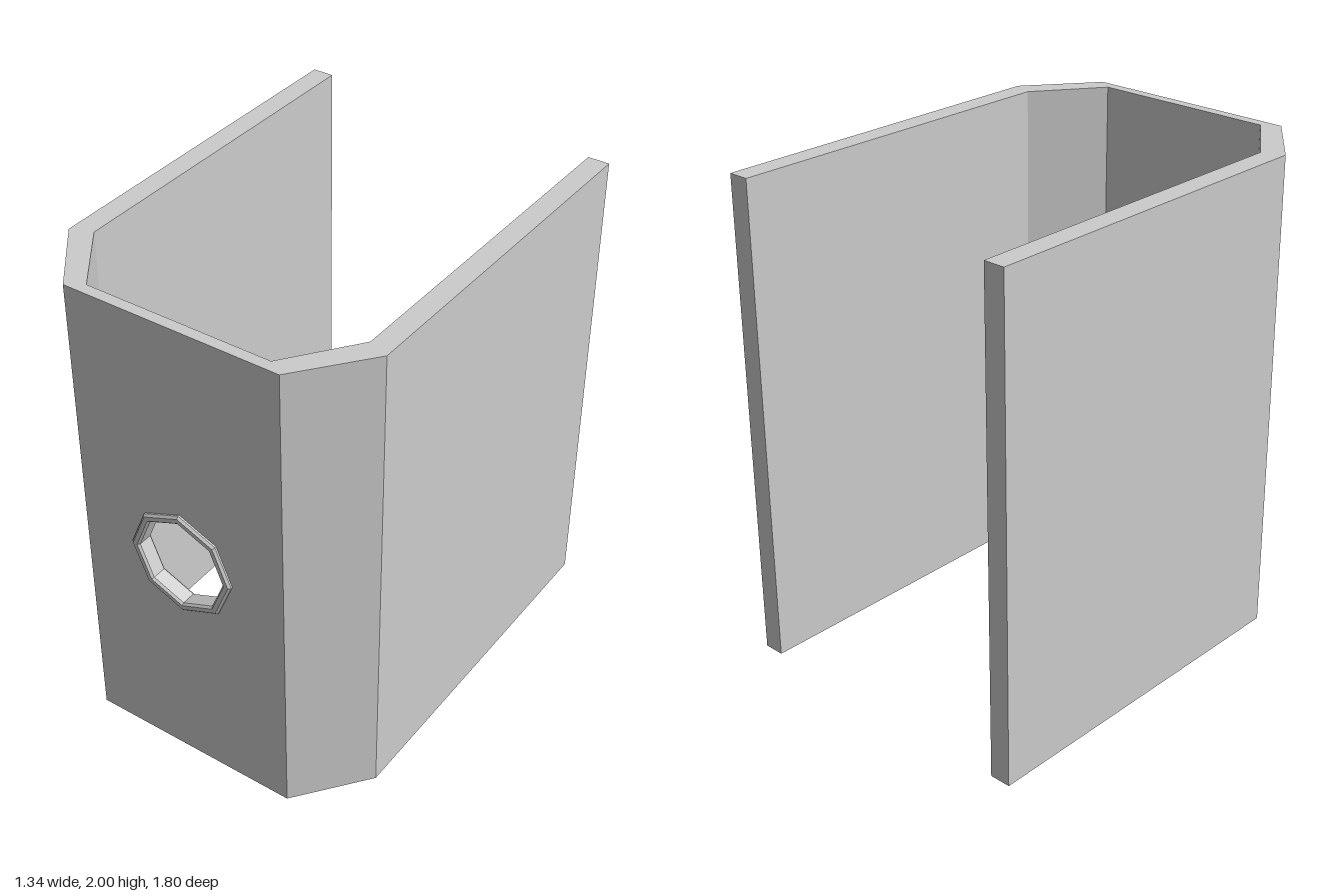
import * as THREE from 'three';

const HEIGHT = 2;
const HOLE_Y = 0.975;
const FRONT = 0.88, BACK = 0.835;      // faces of the front panel
const OUTER_X = 0.45, INNER_X = 0.385; // mitred ends of the front panel

// Vertical prism from plan points [x, z]
function prism(points) {
  const shape = new THREE.Shape(points.map(([x, z]) => new THREE.Vector2(x, -z)));
  const geometry = new THREE.ExtrudeGeometry(shape, { depth: HEIGHT, bevelEnabled: false });
  return geometry.rotateX(-Math.PI / 2);
}

// Front panel with an octagonal hole; its ends are mitred to meet the side walls
function panelGeometry() {
  const shape = new THREE.Shape([
    new THREE.Vector2(-INNER_X, 0), new THREE.Vector2(INNER_X, 0),
    new THREE.Vector2(INNER_X, HEIGHT), new THREE.Vector2(-INNER_X, HEIGHT),
  ]);
  const hole = [];
  for (let i = 0; i < 8; i++) {
    const a = -i * Math.PI / 4;
    hole.push(new THREE.Vector2(0.2 * Math.cos(a), HOLE_Y + 0.2 * Math.sin(a)));
  }
  shape.holes.push(new THREE.Path(hole));
  const geometry = new THREE.ExtrudeGeometry(shape, { depth: FRONT - BACK, bevelEnabled: false });
  geometry.translate(0, 0, BACK);
  const p = geometry.attributes.position;
  for (let i = 0; i < p.count; i++) {
    if (Math.abs(p.getX(i)) > 0.3 && p.getZ(i) > FRONT - 0.01) p.setX(i, Math.sign(p.getX(i)) * OUTER_X);
  }
  geometry.computeVertexNormals();
  return geometry;
}

export function createModel() {
  const model = new THREE.Group();
  model.name = 'channelBracket';
  const grey = new THREE.MeshStandardMaterial({ color: 0xcccccc, flatShading: true });
  grey.name = 'light grey';

  const add = (geometry, name) => {
    const mesh = new THREE.Mesh(geometry, grey);
    mesh.name = name;
    model.add(mesh);
    return mesh;
  };

  add(panelGeometry(), 'frontPanel');

  // Side walls, each with its angled corner
  for (const [s, name] of [[1, 'leftWall'], [-1, 'rightWall']]) {
    add(prism([
      [s * 0.67, -0.9], [s * 0.67, 0.6], [s * OUTER_X, FRONT],
      [s * INNER_X, BACK], [s * 0.583, 0.565], [s * 0.583, -0.9],
    ]), name);
  }

  // Octagonal grommet lining the hole, with softened edges
  const profile = [
    [0.19, 0.83], [0.198, 0.822], [0.217, 0.822], [0.226, 0.83],
    [0.226, 0.887], [0.217, 0.896], [0.198, 0.896], [0.19, 0.887], [0.19, 0.83],
  ].map(([r, z]) => new THREE.Vector2(r, z));
  const grommet = add(new THREE.LatheGeometry(profile, 8).rotateX(Math.PI / 2), 'holeGrommet');
  grommet.position.y = HOLE_Y;

  return model;
}
